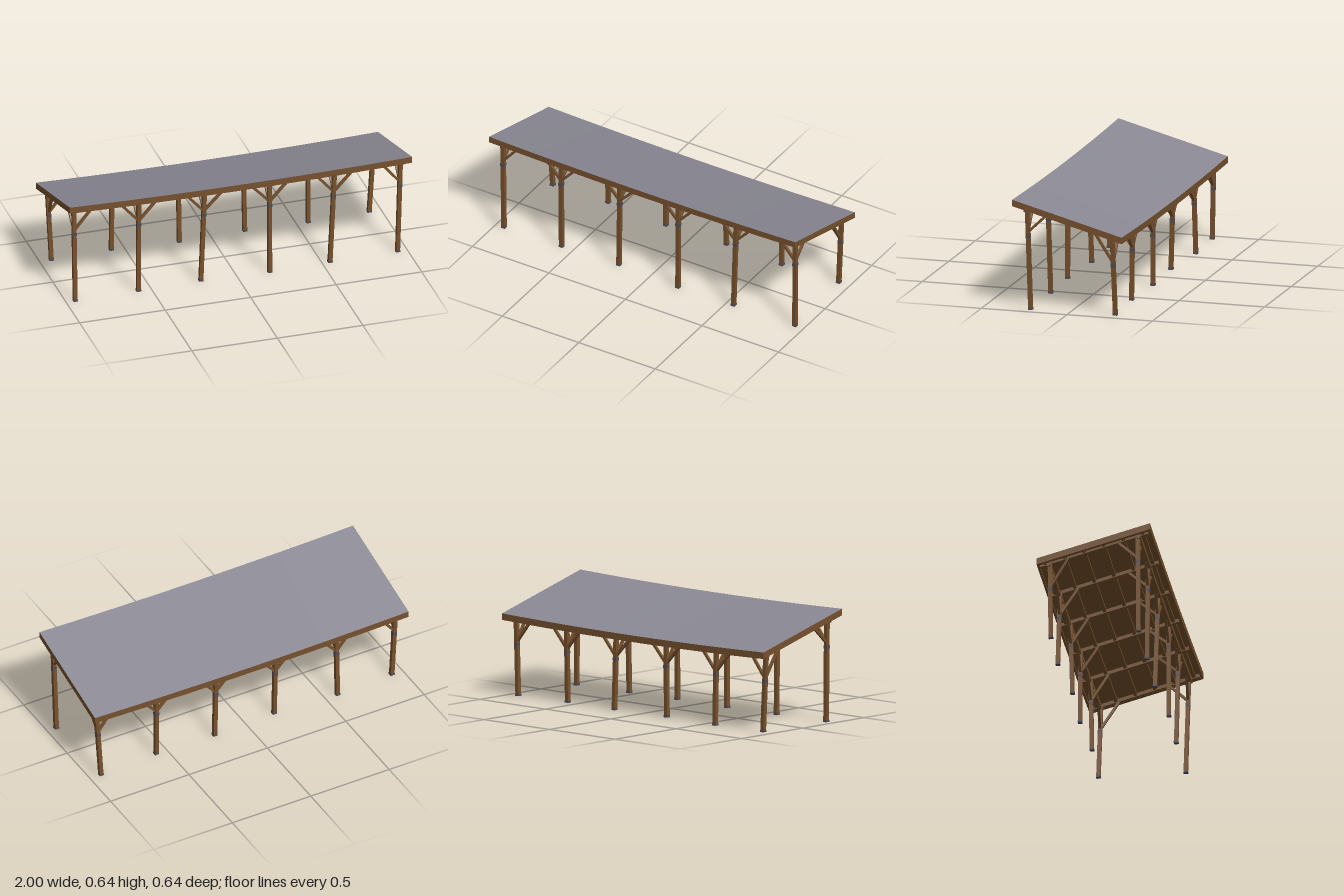
import * as THREE from 'three';

const mat = (name, color) => Object.assign(new THREE.MeshStandardMaterial({ color }), { name });

export function createModel() {
  const wood = mat('brown timber', 0x75502d);
  const roofing = mat('grey roofing', 0x8a8994);
  const metal = mat('dark metal', 0x504c58);
  const model = new THREE.Group();
  model.name = 'canopy';

  const add = (parent, name, geometry, material) => {
    const mesh = new THREE.Mesh(geometry, material);
    mesh.name = name;
    parent.add(mesh);
    return mesh;
  };

  // Roof surface: falls towards the back and sags towards the middle
  const roofY = (x, z) => 0.551 + 0.269 * z - 0.015 * (1 - x * x);

  // Box following the roof, placed by its depths below the roof surface
  const roofBox = (x0, x1, z0, z1, top, bottom) => {
    const g = new THREE.BoxGeometry(x1 - x0, bottom - top, z1 - z0, x1 - x0 > 1 ? 12 : 1, 1, 1);
    g.translate((x0 + x1) / 2, -(top + bottom) / 2, (z0 + z1) / 2);
    const p = g.attributes.position;
    for (let i = 0; i < p.count; i++) p.setY(i, p.getY(i) + roofY(p.getX(i), p.getZ(i)));
    g.computeVertexNormals();
    return g;
  };

  // Square bar between two points
  const strut = (parent, name, a, b, w) => {
    const dir = b.clone().sub(a);
    const mesh = add(parent, name, new THREE.BoxGeometry(w, w, dir.length()), wood);
    mesh.position.copy(a).add(b).multiplyScalar(0.5);
    mesh.lookAt(b);
  };

  // Roof deck with a grey upper face
  const roof = new THREE.Group();
  roof.name = 'roof';
  model.add(roof);
  add(roof, 'roofDeck', roofBox(-1, 1, -0.32, 0.32, 0, 0.023), [wood, wood, roofing, wood, wood, wood]);

  // Fascia boards around the deck edge
  for (const s of [-1, 1]) {
    const z = s * 0.314, x = s * 0.99;
    add(roof, s > 0 ? 'frontFascia' : 'backFascia', roofBox(-1, 1, z - 0.006, z + 0.006, 0.023, 0.037), wood);
    add(roof, 'endFascia', roofBox(x - 0.01, x + 0.01, -0.308, 0.308, 0.023, 0.037), wood);
  }

  // Purlins along the underside
  for (let i = 0; i < 6; i++) {
    const z = -0.275 + i * 0.11;
    add(roof, 'purlin', roofBox(-0.98, 0.98, z - 0.009, z + 0.009, 0.023, 0.038), wood);
  }

  // Posts: head x, then foot x and foot z for the front and back rows
  const posts = [
    [-0.955, -0.947, 0.247, -0.931, -0.25],
    [-0.575, -0.575, 0.24, -0.577, -0.264],
    [-0.19, -0.207, 0.229, -0.186, -0.24],
    [0.19, 0.19, 0.247, 0.201, -0.255],
    [0.57, 0.546, 0.235, 0.568, -0.244],
    [0.955, 0.943, 0.229, 0.93, -0.262],
  ];
  const W = 0.023;

  for (const s of [1, -1]) {
    const row = new THREE.Group();
    row.name = s > 0 ? 'frontRow' : 'backRow';
    model.add(row);
    const headZ = s > 0 ? 0.245 : -0.251;

    // Eave beam over the posts
    const beamZ = headZ + s * 0.006;
    add(row, 'eaveBeam', roofBox(-0.975, 0.975, beamZ - 0.011, beamZ + 0.011, 0.03, 0.055), wood);

    posts.forEach(([x, fx, fz, bx, bz], i) => {
      const foot = new THREE.Vector3(s > 0 ? fx : bx, 0, s > 0 ? fz : bz);
      const head = new THREE.Vector3(x, roofY(x, headZ) - 0.03, headZ);
      const at = y => foot.clone().lerp(head, y / head.y);

      // Leaning upright piece between two heights
      const upright = (name, y0, y1, w, material) => {
        const g = new THREE.BoxGeometry(w, y1 - y0, w).translate(0, (y0 + y1) / 2, 0);
        const p = g.attributes.position;
        for (let k = 0; k < p.count; k++) {
          const c = at(p.getY(k));
          p.setXYZ(k, p.getX(k) + c.x, p.getY(k), p.getZ(k) + c.z);
        }
        g.computeVertexNormals();
        add(row, name, g, material);
      };
      const strapY = s > 0 ? 0.425 : 0.288;
      upright('post', 0.012, head.y, W, wood);
      upright('postFoot', 0, 0.012, W + 0.002, metal);
      upright('postStrap', strapY - 0.009, strapY + 0.009, W + 0.002, metal);

      // Brace to the cross beam
      const low = at(s > 0 ? 0.447 : 0.303);
      const innerZ = s > 0 ? 0.134 : -0.146;
      strut(row, 'crossBrace', low, new THREE.Vector3(x, roofY(x, innerZ) - 0.036, innerZ), 0.014);

      // Braces along the eave beam
      for (const d of [-1, 1]) {
        if ((i === 0 && d < 0) || (i === 5 && d > 0)) continue;
        const bxEnd = x + d * (s > 0 ? 0.1 : 0.11);
        strut(row, 'eaveBrace', low, new THREE.Vector3(bxEnd, roofY(bxEnd, headZ) - 0.048, headZ), 0.014);
      }
    });
  }

  // Cross beams joining each pair of posts
  for (const [x] of posts) {
    add(roof, 'crossBeam', roofBox(x - 0.011, x + 0.011, -0.305, 0.305, 0.02, 0.043), wood);
  }
  return model;
}
